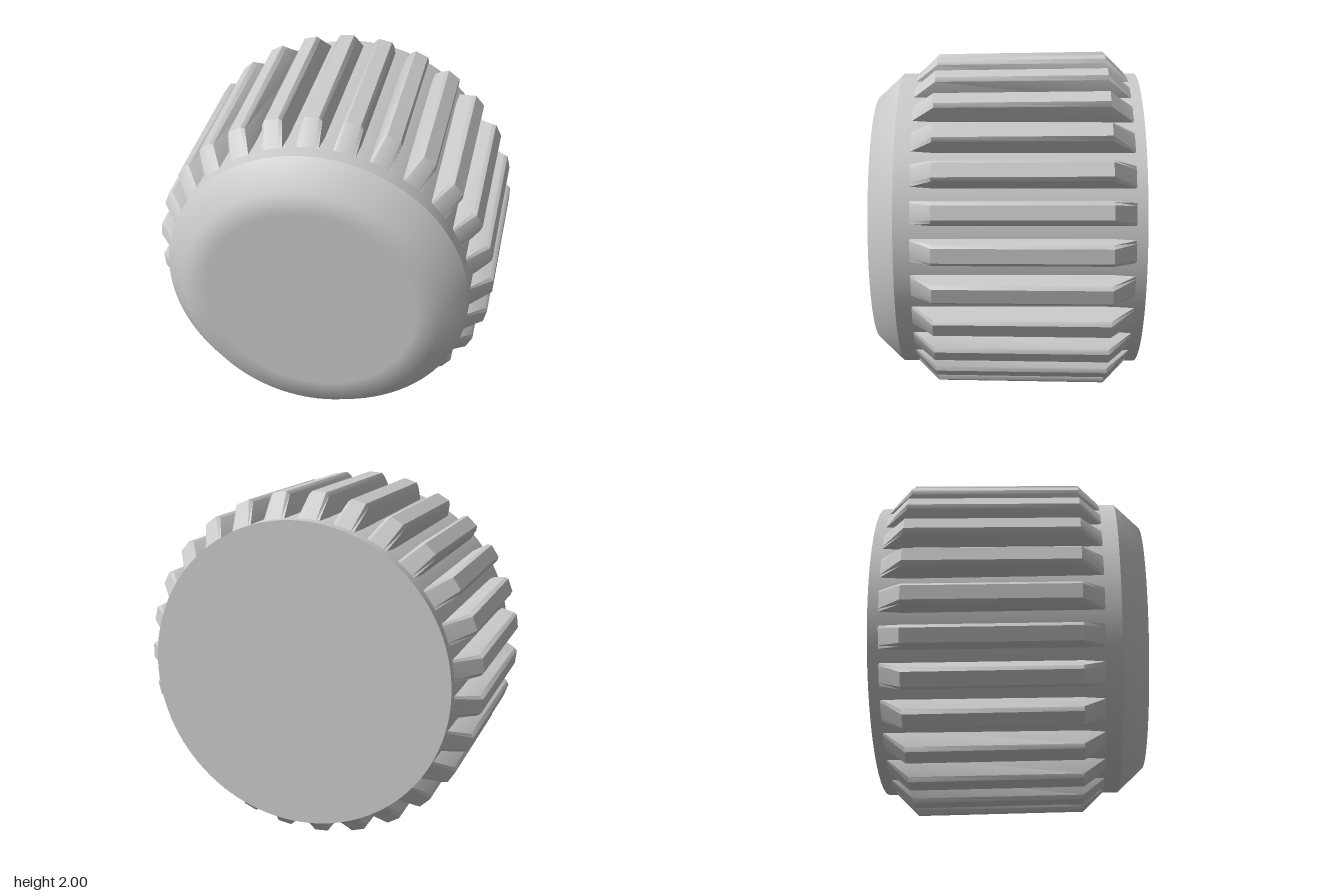
import * as THREE from 'three';
import { toCreasedNormals } from 'three/addons/utils/BufferGeometryUtils.js';

const TEETH = 27;
const BODY_R = 0.87;

// Lathe a [radius, z] profile around the z axis
function turned(profile) {
  const pts = profile.map(([r, z]) => new THREE.Vector2(r, z));
  return new THREE.LatheGeometry(pts, 108).rotateX(Math.PI / 2);
}

// One grip rib along z, pointing to +x, ramping into the body at both ends
function ribGeometry() {
  const stations = [[0.53, 0.86], [0.4, 0.985], [-0.57, 1.0], [-0.71, 0.86]]; // [z, top radius]
  const section = [[-0.068, 0], [-0.058, 0.85], [-0.04, 1], [0.04, 1], [0.058, 0.85], [0.068, 0]]; // [side, height]
  const base = 0.855;
  const positions = [];
  for (const [z, top] of stations)
    for (const [side, h] of section) positions.push(base + (top - base) * h, side, z);
  const n = section.length;
  const index = [];
  for (let i = 0; i < stations.length - 1; i++)
    for (let j = 0; j < n - 1; j++) {
      const a = i * n + j, b = a + 1, c = a + n, d = c + 1;
      index.push(a, c, b, b, c, d);
    }
  const geo = new THREE.BufferGeometry();
  geo.setAttribute('position', new THREE.Float32BufferAttribute(positions, 3));
  geo.setIndex(index);
  return toCreasedNormals(geo, THREE.MathUtils.degToRad(38));
}

export function createModel() {
  const group = new THREE.Group();
  const material = new THREE.MeshStandardMaterial({ color: 0xcccccc, side: THREE.DoubleSide });
  const add = (geo, name, parent = group) => {
    const mesh = new THREE.Mesh(geo, material);
    mesh.name = name;
    parent.add(mesh);
    return mesh;
  };

  // Drum: flat back, straight side, and a softly shaded chamfered front
  add(turned([[0, -0.76], [BODY_R, -0.76]]), 'backFace');
  add(turned([[BODY_R, -0.76], [BODY_R, 0.61]]), 'sideWall');
  add(turned([[BODY_R, 0.61], [0.73, 0.76], [0.6, 0.76], [0, 0.76]]), 'frontCap');

  // Ring of grip ribs
  const ribs = new THREE.Group();
  ribs.name = 'gripRibs';
  const rib = ribGeometry();
  for (let i = 0; i < TEETH; i++)
    add(rib, 'gripRib', ribs).rotation.z = (i / TEETH) * Math.PI * 2;
  group.add(ribs);

  for (const part of group.children) part.position.y = 1;
  return group;
}
